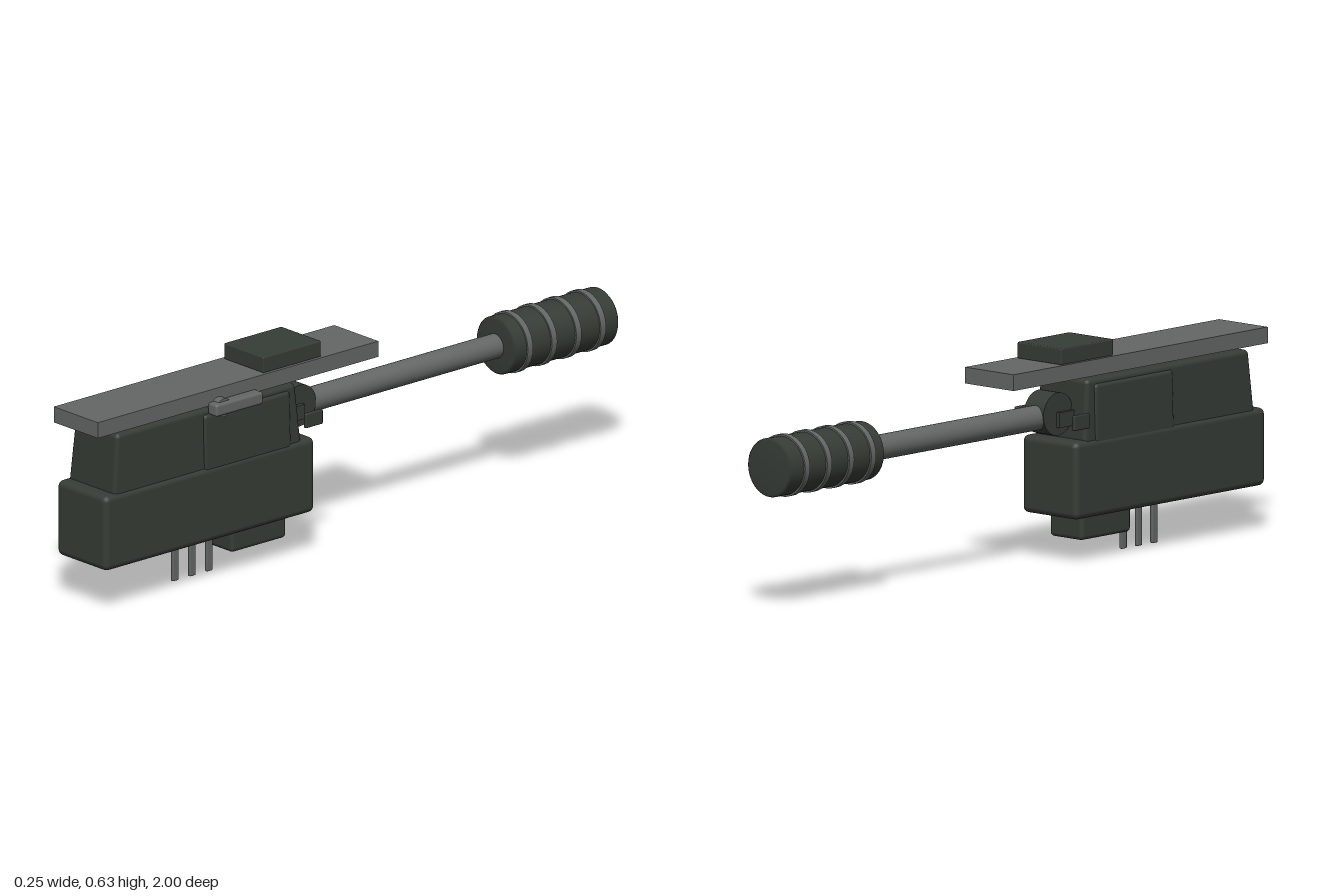
import * as THREE from 'three';
import { RoundedBoxGeometry } from 'three/addons/geometries/RoundedBoxGeometry.js';

const dark = new THREE.MeshStandardMaterial({ color: 0x363c36 });
dark.name = 'dark plastic';
const grey = new THREE.MeshStandardMaterial({ color: 0x636765 });
grey.name = 'grey metal';
const CX = -0.008; // shared centre plane of the mechanism

export function createModel() {
  const group = new THREE.Group();
  const add = (name, geometry, material) => {
    const mesh = new THREE.Mesh(geometry, material);
    mesh.name = name;
    group.add(mesh);
    return mesh;
  };
  // Box given by its limits on each axis, with optional rounded edges
  const box = (name, material, [x0, x1], [y0, y1], [z0, z1], r = 0) => {
    const size = [x1 - x0, y1 - y0, z1 - z0];
    const geo = r ? new RoundedBoxGeometry(...size, 2, r) : new THREE.BoxGeometry(...size);
    geo.translate((x0 + x1) / 2, (y0 + y1) / 2, (z0 + z1) / 2);
    return add(name, geo, material);
  };
  // Narrow a box towards its top
  const taper = (mesh, y0, y1, sx, sz, cz) => {
    const p = mesh.geometry.attributes.position;
    for (let i = 0; i < p.count; i++) {
      const t = (p.getY(i) - y0) / (y1 - y0);
      p.setX(i, CX + (p.getX(i) - CX) * (1 - t * (1 - sx)));
      p.setZ(i, cz + (p.getZ(i) - cz) * (1 - t * (1 - sz)));
    }
  };
  // Cylinder running along z or x
  const rod = (name, material, axis, r, length, x, y, z) => {
    const geo = new THREE.CylinderGeometry(r, r, length, 32);
    if (axis === 'z') geo.rotateX(Math.PI / 2);
    else geo.rotateZ(Math.PI / 2);
    geo.translate(x, y, z);
    return add(name, geo, material);
  };

  // Housing
  box('lowerHousing', dark, [-0.114, 0.099], [0.132, 0.357], [0.18, 0.98], 0.018);
  const upper = box('upperHousing', dark, [-0.108, 0.092], [0.31, 0.53], [0.22, 0.945], 0.014);
  taper(upper, 0.31, 0.53, 0.92, 0.94, 0.578);
  const panel = box('sidePanels', dark, [-0.111, 0.095], [0.33, 0.515], [0.265, 0.6], 0.012);
  taper(panel, 0.33, 0.515, 0.975, 0.98, 0.43);
  box('bottomBlock', dark, [-0.07, 0.055], [0.06, 0.15], [0.25, 0.46], 0.012);

  // Terminal pins
  for (const z of [0.493, 0.557, 0.622]) {
    box('terminalPin', grey, [-0.013, -0.002], [0, 0.15], [z - 0.011, z + 0.011], 0.003);
  }

  // Top rail and its raised pad
  box('topRail', grey, [-0.101, 0.087], [0.538, 0.585], [-0.07, 1]);
  box('topPad', dark, [-0.092, 0.078], [0.584, 0.632], [0.14, 0.36], 0.004);

  // Side latch
  box('latchMount', grey, [0, 0.09], [0.52, 0.54], [0.41, 0.57]);
  box('latchLever', grey, [0.085, 0.124], [0.513, 0.55], [0.4, 0.58], 0.008);
  rod('latchHub', grey, 'x', 0.027, 0.11, 0.056, 0.531, 0.54);

  // Clips on either side of the pivot
  for (const side of [-1, 1]) {
    const x = CX + side * 0.1115;
    box('sideClip', dark, [x - 0.006, x + 0.006], [0.395, 0.439], [0.16, 0.226], 0.004);
  }

  // Pivot, lever shaft and ribbed grip
  rod('pivotDrum', dark, 'x', 0.062, 0.075, CX, 0.433, 0.178);
  box('pivotBracket', dark, [CX - 0.05, CX + 0.05], [0.395, 0.439], [0.17, 0.27]);
  rod('leverShaft', grey, 'z', 0.036, 0.76, CX, 0.425, -0.23);

  const profile = [[0, -1], [0.078, -1], [0.085, -0.993], [0.085, -0.607], [0.078, -0.6], [0, -0.6]];
  const grip = new THREE.LatheGeometry(profile.map(([r, h]) => new THREE.Vector2(r, h)), 40);
  grip.rotateX(Math.PI / 2);
  grip.translate(CX, 0.425, 0);
  add('grip', grip, dark);
  for (const z of [-0.655, -0.747, -0.84, -0.933]) {
    rod('gripRing', grey, 'z', 0.09, 0.02, CX, 0.425, z);
  }
  return group;
}
